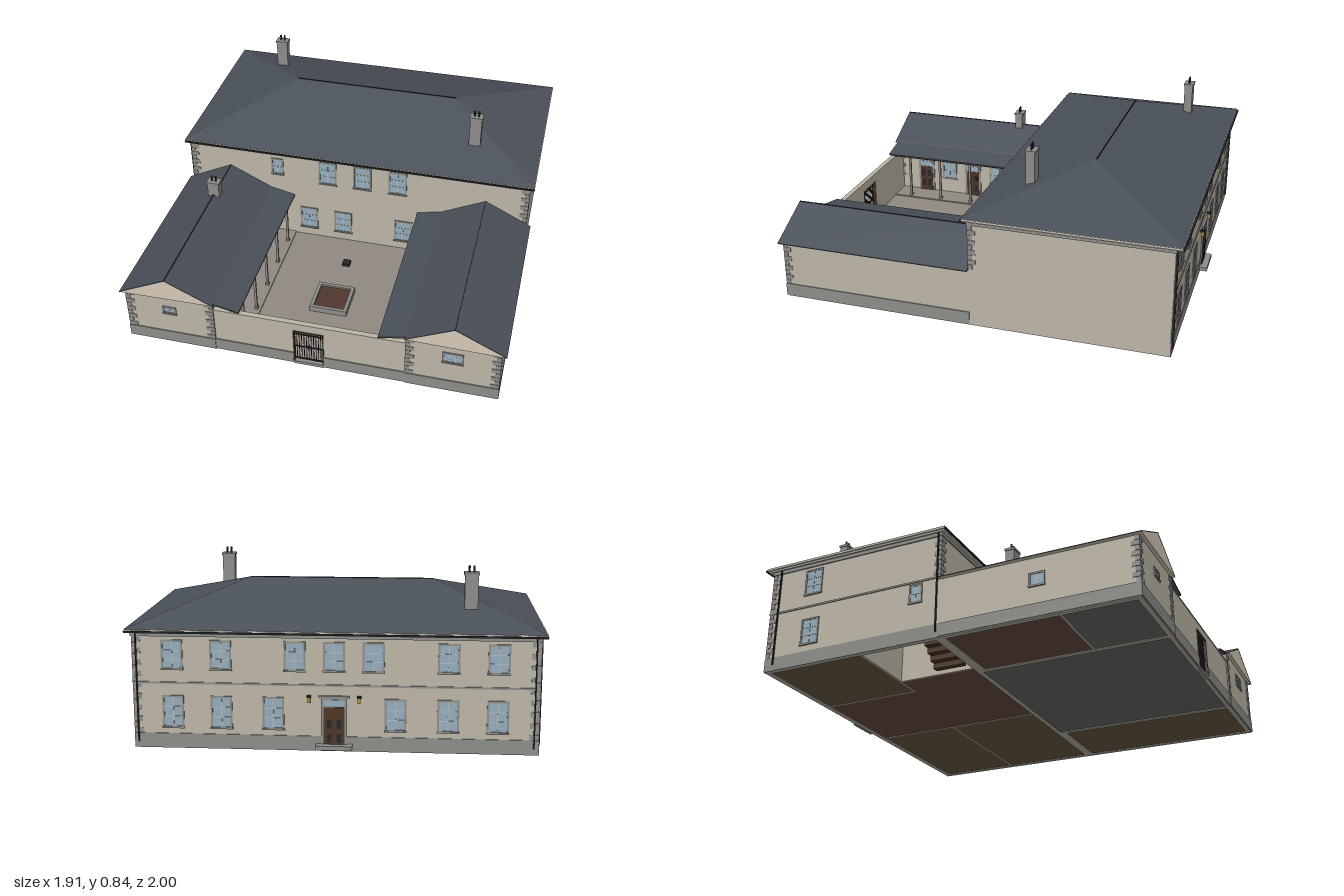
import * as THREE from 'three';

const mat = color => new THREE.MeshStandardMaterial({ color, flatShading: true });
const M = {
  wall: mat(0xbcb6a6), gable: mat(0xd6c9b8), stone: mat(0x8c8c88), trim: mat(0xc9c5b8),
  slate: mat(0x4a5059), dark: mat(0x24252a), glass: mat(0x93abba), bar: mat(0xb4b9b8),
  wood: mat(0x4d3626), paving: mat(0x908a82), soil: mat(0x4f382e), floor: mat(0x6b5a44),
  floorRed: mat(0x6a4c40), slab: mat(0x6a6a66), lamp: mat(0xc08a40),
};

// Box given by its extents on each axis
function box(parent, name, m, x0, x1, y0, y1, z0, z1) {
  const mesh = new THREE.Mesh(new THREE.BoxGeometry(x1 - x0, y1 - y0, z1 - z0), m);
  mesh.position.set((x0 + x1) / 2, (y0 + y1) / 2, (z0 + z1) / 2);
  mesh.name = name;
  parent.add(mesh);
}

function group(parent, name, x = 0, y = 0, z = 0, ry = 0) {
  const g = new THREE.Group();
  g.name = name;
  g.position.set(x, y, z);
  g.rotation.y = ry;
  parent.add(g);
  return g;
}

// Four walls around an open plan
function walls(parent, name, x0, x1, y1, z0, z1, t = 0.025) {
  box(parent, name, M.wall, x0, x1, 0, y1, z0, z0 + t);
  box(parent, name, M.wall, x0, x1, 0, y1, z1 - t, z1);
  box(parent, name, M.wall, x0, x0 + t, 0, y1, z0 + t, z1 - t);
  box(parent, name, M.wall, x1 - t, x1, 0, y1, z0 + t, z1 - t);
}

// Profile in x/y extruded along z
function prism(parent, name, m, pts, z0, z1) {
  const shape = new THREE.Shape(pts.map(p => new THREE.Vector2(...p)));
  const geo = new THREE.ExtrudeGeometry(shape, { depth: z1 - z0, bevelEnabled: false });
  const mesh = new THREE.Mesh(geo.translate(0, 0, z0), m);
  mesh.name = name;
  parent.add(mesh);
}

// Window facing local +z with surround, sill and glazing bars
function addWindow(parent, x, y, z, ry, w = 0.1, h = 0.14, cols = 2, rows = 3) {
  const g = group(parent, 'window', x, y, z, ry), a = w / 2, b = h / 2, t = 0.009;
  box(g, 'glass', M.glass, -a + t, a - t, -b + t, b - t, -0.002, 0.002);
  for (const s of [-1, 1]) {
    box(g, 'jamb', M.stone, s * (a - t / 2) - t / 2, s * (a - t / 2) + t / 2, -b, b, -0.002, 0.005);
    box(g, 'lintel', M.stone, -a, a, s * (b - t / 2) - t / 2, s * (b - t / 2) + t / 2, -0.002, 0.005);
  }
  box(g, 'sill', M.stone, -a - 0.002, a + 0.002, -b - 0.002, -b + 0.006, -0.002, 0.008);
  for (let i = 1; i < cols; i++) {
    const u = -a + t + (w - 2 * t) * i / cols;
    box(g, 'glazingBar', M.bar, u - 0.002, u + 0.002, -b + t, b - t, 0, 0.004);
  }
  for (let i = 1; i < rows; i++) {
    const v = -b + t + (h - 2 * t) * i / rows;
    box(g, 'glazingBar', M.bar, -a + t, a - t, v - 0.002, v + 0.002, 0, 0.004);
  }
}

function addDoor(parent, x, z, ry, w = 0.1, h = 0.2) {
  const g = group(parent, 'door', x, 0.015, z, ry), a = w / 2;
  box(g, 'doorFrame', M.stone, -a, a, 0, h, -0.002, 0.005);
  box(g, 'doorLeaf', M.wood, -a + 0.012, a - 0.012, 0, h - 0.045, 0, 0.008);
  box(g, 'fanlight', M.glass, -a + 0.012, a - 0.012, h - 0.038, h - 0.01, 0, 0.007);
  for (const s of [-1, 1]) for (const y of [0.03, 0.095])
    box(g, 'doorPanel', M.dark, s * a * 0.36 - 0.01, s * a * 0.36 + 0.01, y, y + 0.04, 0.004, 0.0095);
}

// Alternating long and short corner stones; sx, sz point outwards
function quoins(parent, x, z, sx, sz, y0, y1, onX = true) {
  const g = group(parent, 'quoins'), n = Math.round((y1 - y0) / 0.027), st = (y1 - y0) / n, p = 0.003;
  for (let i = 0; i < n; i++) {
    const a = i % 2 ? 0.022 : 0.04, b = onX ? (i % 2 ? 0.036 : 0.02) : 0.004, o = onX ? p : 0;
    const xs = [x + sx * o, x - sx * a].sort((q, r) => q - r), zs = [z + sz * p, z - sz * b].sort((q, r) => q - r);
    box(g, 'quoin', M.stone, ...xs, y0 + i * st + 0.001, y0 + (i + 1) * st - 0.001, ...zs);
  }
}

function addChimney(parent, x, z, y0, y1) {
  const g = group(parent, 'chimney', x, 0, z);
  box(g, 'chimneyStack', M.stone, -0.031, 0.031, y0, y1 - 0.012, -0.022, 0.022);
  box(g, 'chimneyCap', M.stone, -0.035, 0.035, y1 - 0.012, y1, -0.026, 0.026);
  for (const s of [-1, 1]) {
    const pot = new THREE.Mesh(new THREE.CylinderGeometry(0.005, 0.005, 0.032, 8), M.dark);
    pot.position.set(s * 0.011, y1 + 0.014, 0);
    pot.name = 'chimneyPot';
    g.add(pot);
  }
}

function hipRoof(X, y, z0, z1, r, top) {
  const zm = (z0 + z1) / 2;
  const geo = new THREE.BufferGeometry();
  geo.setAttribute('position', new THREE.Float32BufferAttribute(
    [-X, y, z1, X, y, z1, X, y, z0, -X, y, z0, -r, top, zm, r, top, zm], 3));
  geo.setIndex([0, 1, 5, 0, 5, 4, 1, 2, 5, 2, 3, 4, 2, 4, 5, 3, 0, 4, 0, 3, 2, 0, 2, 1]);
  const flat = geo.toNonIndexed();
  flat.computeVertexNormals();
  return flat;
}

function addMainHouse(root) {
  const g = group(root, 'mainHouse'), B = -0.957;
  walls(g, 'mainWalls', -0.93, 0.93, 0.55, B, 0.01);
  box(g, 'cornice', M.stone, -0.936, 0.936, 0.53, 0.548, B - 0.006, 0.016);
  box(g, 'soffit', M.trim, -0.945, 0.945, 0.548, 0.556, -0.985, 0.03);
  box(g, 'fascia', M.trim, -0.954, 0.954, 0.556, 0.567, -0.992, 0.034);
  for (const z of [-0.996, 0.037]) box(g, 'gutter', M.dark, -0.955, 0.955, 0.552, 0.56, z - 0.004, z + 0.004);
  const roof = new THREE.Mesh(hipRoof(0.955, 0.566, -0.994, 0.036, 0.45, 0.73), M.slate);
  roof.name = 'mainRoof';
  g.add(roof);
  box(g, 'ridge', M.dark, -0.45, 0.45, 0.727, 0.732, -0.482, -0.476);
  addChimney(g, -0.622, -0.75, 0.6, 0.808);
  addChimney(g, 0.604, -0.202, 0.6, 0.808);
  // Rear and right-hand plinth and string course
  for (const [n, y0, y1, p] of [['plinth', 0, 0.07, 0.004], ['stringCourse', 0.307, 0.316, 0.005]]) {
    box(g, n, M.stone, -0.93 - p, 0.93, y0, y1, B - p, B);
    box(g, n, M.stone, -0.93 - p, -0.93, y0, y1, B, 0.01);
  }
  quoins(g, -0.93, B, -1, -1, 0.07, 0.53);
  quoins(g, 0.93, B, 1, -1, 0.07, 0.53, false);
  for (const s of [-1, 1]) quoins(g, s * 0.93, 0.01, s, 1, 0.3, 0.53);
  // Rear windows, door, step and lanterns
  for (const x of [-0.745, -0.52, -0.18, 0, 0.18, 0.52, 0.745]) addWindow(g, x, 0.445, B, Math.PI);
  for (const x of [-0.745, -0.52, -0.28, 0.28, 0.52, 0.745]) addWindow(g, x, 0.175, B, Math.PI, 0.1, 0.155);
  addDoor(g, 0, B - 0.004, Math.PI, 0.12, 0.24);
  box(g, 'doorHood', M.stone, -0.07, 0.07, 0.255, 0.264, B - 0.012, B);
  box(g, 'doorStep', M.stone, -0.085, 0.085, 0.015, 0.035, -1, B);
  for (const s of [-1, 1]) {
    const l = group(g, 'lantern', s * 0.115, 0.25, B - 0.013);
    box(l, 'lanternGlass', M.lamp, -0.007, 0.007, -0.018, 0.006, -0.007, 0.007);
    box(l, 'lanternCap', M.dark, -0.01, 0.01, 0.006, 0.014, -0.01, 0.013);
    box(g, 'downpipe', M.dark, s * 0.91 - 0.003, s * 0.91 + 0.003, 0.03, 0.552, B - 0.012, B - 0.004);
  }
  for (const z of [-0.91, -0.005]) box(g, 'downpipe', M.dark, -0.942, -0.934, 0.03, 0.552, z - 0.003, z + 0.003);
  // Right-hand side windows
  for (const y of [0.175, 0.445]) addWindow(g, -0.93, y, -0.71, -Math.PI / 2);
  addWindow(g, -0.93, 0.25, -0.12, -Math.PI / 2, 0.07, 0.1, 2, 2);
  // Courtyard side
  for (const x of [-0.155, 0.038, 0.233]) addWindow(g, x, 0.455, 0.01, 0, 0.1, 0.145);
  addWindow(g, -0.438, 0.457, 0.01, 0, 0.068, 0.105, 2, 2);
  for (const x of [-0.265, -0.07, 0.27]) addWindow(g, x, 0.135, 0.01, 0, 0.1, 0.14);
}

// Side wing with gabled roof and veranda; s = -1 right, 1 left
function addWing(root, s) {
  const g = group(root, s < 0 ? 'rightWing' : 'leftWing');
  const span = (a, b) => (s > 0 ? [a, b] : [-b, -a]);
  const pts = list => list.map(([x, y]) => [s * x, y]);
  walls(g, 'wingWalls', ...span(0.48, 0.93), 0.305, 0.01, 0.98);
  prism(g, 'gable', M.gable, pts([[0.953, 0.298], [0.708, 0.417], [0.475, 0.305]]), 0.01, 0.999);
  prism(g, 'outerRoofSlope', M.slate, pts([[0.955, 0.297], [0.955, 0.301], [0.708, 0.422], [0.708, 0.417]]), 0.01, 1);
  prism(g, 'innerRoofSlope', M.slate, pts([[0.708, 0.417], [0.708, 0.422], [0.485, 0.313], [0.475, 0.305]]), 0.01, 1);
  prism(g, 'verandaRoof', M.slate, pts([[0.49, 0.304], [0.49, 0.312], [0.345, 0.28], [0.345, 0.272]]), 0.01, 0.985);
  box(g, 'ridge', M.dark, ...span(0.706, 0.71), 0.416, 0.424, 0.01, 0.999);
  box(g, 'verandaBeam', M.wood, ...span(0.362, 0.376), 0.262, 0.276, 0.01, 0.955);
  box(g, 'plinth', M.stone, ...span(0.93, 0.935), 0.005, 0.07, 0.01, 0.985);
  box(g, 'plinth', M.stone, ...span(0.48, 0.932), 0.005, 0.07, 0.98, 0.985);
  quoins(g, s * 0.93, 0.98, s, 1, 0.07, 0.3);
  quoins(g, s * 0.48, 0.98, -s, 1, 0.07, 0.3);
  // Veranda floor, posts, doors and windows
  box(g, 'verandaFloor', M.paving, ...span(0.345, 0.48), 0.012, 0.02, 0.01, 0.955);
  for (let i = 0; i < 5; i++) {
    const z = 0.1 + i * 0.19;
    box(g, 'verandaPost', M.stone, ...span(0.363, 0.375), 0.02, 0.264, z - 0.006, z + 0.006);
    box(g, 'postBase', M.stone, ...span(0.36, 0.378), 0.02, 0.032, z - 0.009, z + 0.009);
  }
  for (const z of [0.2, 0.5, 0.8]) addDoor(g, s * 0.48, z, -s * Math.PI / 2);
  for (const z of [0.35, 0.65]) addWindow(g, s * 0.48, 0.16, z, -s * Math.PI / 2, 0.09, 0.11, 2, 2);
}

function addCourtyard(root) {
  const g = group(root, 'courtyard');
  box(g, 'paving', M.paving, -0.48, 0.48, 0.008, 0.014, 0.01, 0.96);
  for (const s of [-1, 1]) {
    const span = (a, b) => (s > 0 ? [a, b] : [-b, -a]);
    box(g, 'frontWall', M.wall, ...span(0.077, 0.48), 0, 0.26, 0.955, 0.976);
    box(g, 'wallPlinth', M.stone, ...span(0.077, 0.48), 0.005, 0.07, 0.976, 0.981);
    box(g, 'gatePost', M.wood, ...span(0.071, 0.077), 0.014, 0.217, 0.957, 0.979);
    box(g, 'planterKerb', M.stone, ...span(0.08, 0.098), 0.012, 0.045, 0.422, 0.618);
    box(g, 'planterKerb', M.stone, -0.08, 0.08, 0.012, 0.045, 0.52 + s * 0.089 - 0.009, 0.52 + s * 0.089 + 0.009);
  }
  box(g, 'frontWallLintel', M.wall, -0.077, 0.077, 0.217, 0.26, 0.955, 0.976);
  box(g, 'threshold', M.stone, -0.077, 0.077, 0, 0.016, 0.955, 0.981);
  box(g, 'wallCoping', M.wall, -0.48, 0.48, 0.258, 0.264, 0.952, 0.979);
  box(g, 'gateHead', M.wood, -0.077, 0.077, 0.211, 0.217, 0.957, 0.979);
  box(g, 'planterSoil', M.soil, -0.08, 0.08, 0.012, 0.035, 0.44, 0.6);
  box(g, 'wellCover', M.dark, -0.02, 0.02, 0.012, 0.03, 0.195, 0.235);
  // Barred gate
  for (let i = -5; i <= 5; i++) box(g, 'gateBar', M.dark, i * 0.012 - 0.0015, i * 0.012 + 0.0015, 0.025, 0.211, 0.966, 0.969);
  for (const y of [0.03, 0.11, 0.19]) box(g, 'gateRail', M.dark, -0.071, 0.071, y - 0.003, y + 0.003, 0.965, 0.97);
  box(g, 'gateLock', M.dark, -0.008, 0.008, 0.102, 0.118, 0.963, 0.972);
}

// Ground floors set up inside the walls, partitions, upper floor and stair
function addInterior(root) {
  const g = group(root, 'interior');
  const floors = [
    [M.floor, -0.905, -0.4, -0.932, -0.42], [M.floorRed, -0.4, 0.15, -0.932, -0.015],
    [M.floor, 0.15, 0.905, -0.932, -0.015], [M.floorRed, -0.54, -0.4, -0.42, -0.015],
    [M.slab, -0.48, 0.48, 0.01, 0.955], [M.floor, 0.505, 0.905, 0.035, 0.955],
    [M.floorRed, -0.905, -0.505, 0.035, 0.6], [M.slab, -0.905, -0.505, 0.6, 0.955],
  ];
  for (const [m, x0, x1, z0, z1] of floors) box(g, 'groundFloor', m, x0, x1, 0.004, 0.01, z0, z1);
  box(g, 'upperFloor', M.trim, -0.905, 0.905, 0.29, 0.305, -0.932, -0.015);
  const partitions = [
    [-0.405, -0.395, -0.932, -0.42], [0.145, 0.155, -0.932, -0.015], [-0.905, -0.395, -0.425, -0.415],
    [0.155, 0.905, -0.505, -0.495], [-0.545, -0.535, -0.415, -0.015], [-0.905, -0.505, 0.595, 0.605],
  ];
  for (const [x0, x1, z0, z1] of partitions) box(g, 'partition', M.wall, x0, x1, 0.002, 0.29, z0, z1);
  for (let i = 0; i < 10; i++) {
    const x = -0.57 - i * 0.032, y = 0.01 + i * 0.028;
    box(g, 'stairTread', M.wood, x - 0.032, x, y, y + 0.028, -0.2, -0.04);
  }
}

export function createModel() {
  const root = new THREE.Group();
  root.name = 'courtyardHouse';
  addMainHouse(root);
  for (const s of [-1, 1]) addWing(root, s);
  addCourtyard(root);
  addInterior(root);
  // Details found on one wing only
  addChimney(root, -0.707, 0.273, 0.39, 0.5);
  addWindow(root, -0.707, 0.213, 0.98, 0, 0.07, 0.045, 2, 1);
  addWindow(root, 0.705, 0.22, 0.98, 0, 0.1, 0.065, 3, 1);
  addWindow(root, -0.93, 0.19, 0.5, -Math.PI / 2, 0.08, 0.07, 2, 1);
  return root;
}
